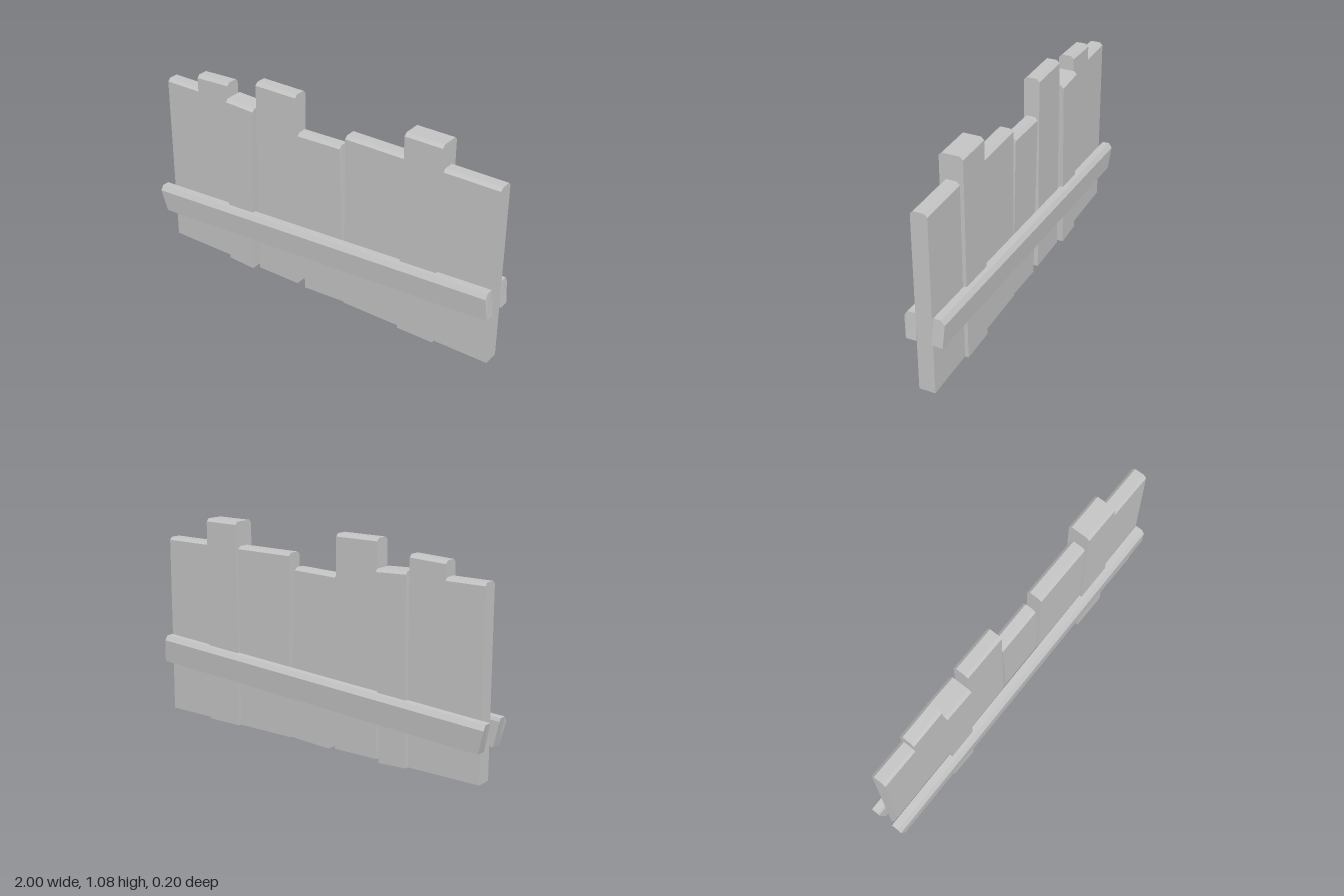
import * as THREE from 'three';

// Flat-faced solid between a left and a right cross-section (arrays of [x, y, z],
// ordered front-bottom, up and over, to back-bottom).
function loft(left, right) {
  const pos = [];
  const tri = (...pts) => pts.forEach((p) => pos.push(...p));
  const n = left.length;
  for (let i = 0; i < n; i++) {
    const j = (i + 1) % n;
    tri(left[i], right[i], right[j]);
    tri(left[i], right[j], left[j]);
    if (i > 0 && i < n - 1) {
      tri(right[0], right[j], right[i]);
      tri(left[0], left[i], left[j]);
    }
  }
  const geo = new THREE.BufferGeometry();
  geo.setAttribute('position', new THREE.Float32BufferAttribute(pos, 3));
  geo.computeVertexNormals();
  return geo;
}

// Edge section of a board: bottom and top are [x, y], with bevelled top corners.
function plankEdge([xb, yb], [xt, yt], zBack, zFront) {
  const c = 0.015;
  const s = yt - c;
  return [
    [xb, yb, zFront], [xt, s, zFront], [xt, yt, zFront - c],
    [xt, yt, zBack + c], [xt, s, zBack], [xb, yb, zBack],
  ];
}

// End section of a rail; side is 1 for the front rail and -1 for the back rail.
function railEnd([xb, yb], [xt, yt], side) {
  const pts = [
    [xb, yb, 0.092], [xt, yt - 0.025, 0.1], [xt, yt, 0.083],
    [xt, yt, 0.045], [xt, yt - 0.015, 0.038], [xb, yb, 0.038],
  ].map(([x, y, z]) => [x, y, z * side]);
  return side > 0 ? pts : pts.reverse();
}

export function createModel() {
  const group = new THREE.Group();
  const grey = new THREE.MeshStandardMaterial({ color: 0xc4c4c4, flatShading: true });
  grey.name = 'plain grey';

  const add = (name, geo) => {
    const mesh = new THREE.Mesh(geo, grey);
    mesh.name = name;
    group.add(mesh);
  };

  // Boards: bottom left, top left, bottom right, top right, back z, front z
  const planks = [
    ['endPlankLow', [-0.95, 0.01], [-0.95, 0.943], [-0.74, 0.01], [-0.74, 0.943], -0.04, 0.04],
    ['endPlankHigh', [-0.745, 0.01], [-0.745, 1.018], [-0.55, 0.01], [-0.55, 1.027], -0.04, 0.04],
    ['narrowPlank', [-0.56, 0.01], [-0.545, 0.95], [-0.405, 0.003], [-0.375, 0.943], -0.061, 0.062],
    ['tallPlank', [-0.375, 0.01], [-0.368, 1.082], [-0.125, 0.01], [-0.128, 1.082], -0.04, 0.042],
    ['leaningPlank', [-0.08, 0], [-0.118, 0.882], [0.168, 0.013], [0.13, 0.889], -0.036, 0.038],
    ['widePlank', [0.165, 0.01], [0.165, 0.956], [0.99, 0.01], [0.99, 0.956], -0.04, 0.042],
    ['post', [0.5, 0.01], [0.5, 1.082], [0.7, 0.01], [0.7, 1.082], -0.059, 0.059],
  ];
  for (const [name, bl, tl, br, tr, zb, zf] of planks) {
    add(name, loft(plankEdge(bl, tl, zb, zf), plankEdge(br, tr, zb, zf)));
  }

  // Sloping rails on both faces
  for (const side of [1, -1]) {
    add(side > 0 ? 'frontRail' : 'backRail', loft(
      railEnd([-0.97, 0.175], [-1, 0.317], side),
      railEnd([0.998, 0.285], [0.987, 0.428], side),
    ));
  }
  return group;
}
